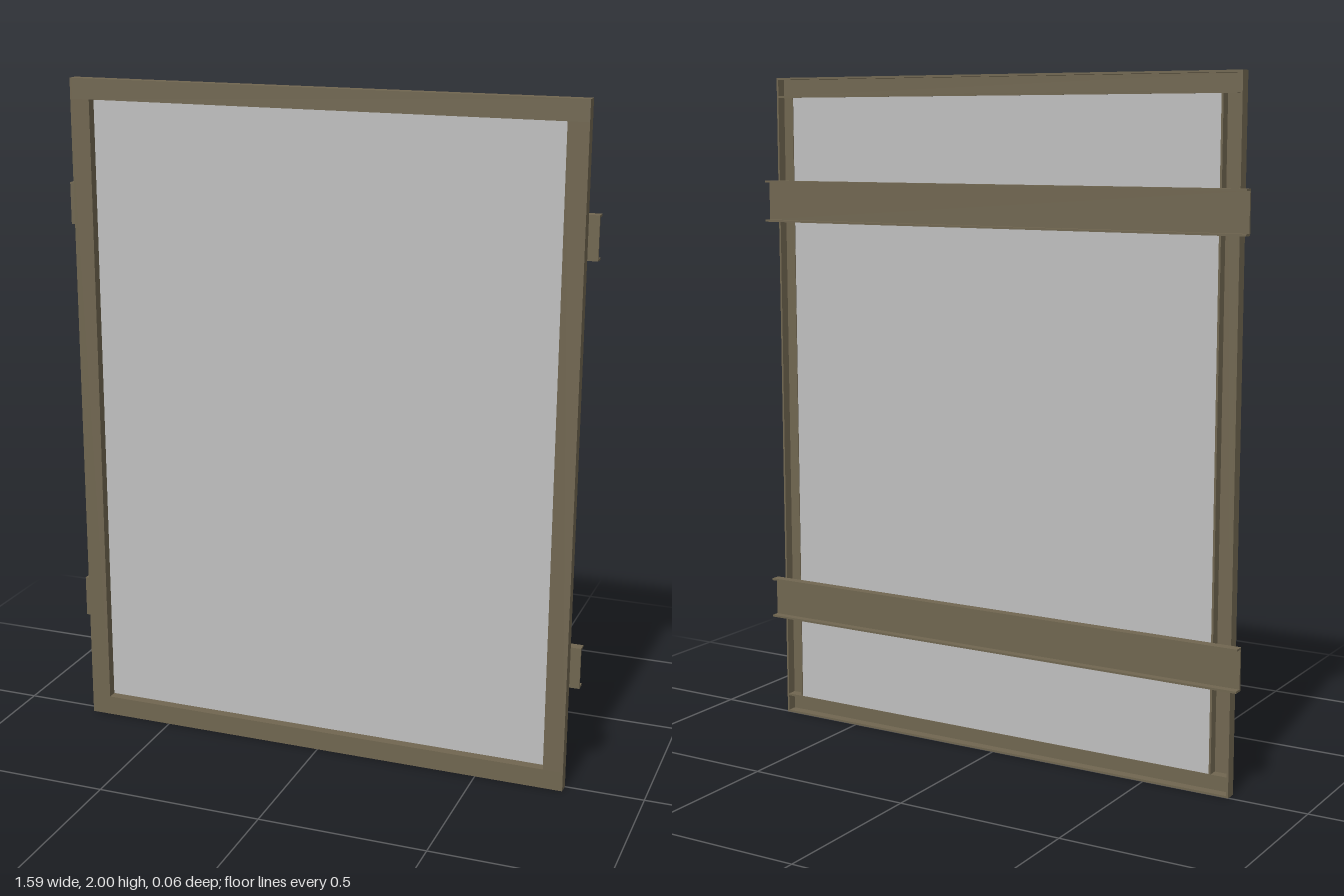
import * as THREE from 'three';

const HALF_W = 0.765, HEIGHT = 2;      // outer frame
const RAIL = 0.06;                     // channel width
const WALL = 0.006;                    // sheet thickness
const FRONT = 0.032, SPLIT = -0.003, BACK = -0.032;

const bronze = new THREE.MeshStandardMaterial({ color: 0x706650 });
bronze.name = 'bronze metal';
const grey = new THREE.MeshStandardMaterial({ color: 0xbfbfbf });
grey.name = 'grey panel';

// U-channel lying along x, centred, open towards -z, front web at z = front
function channel(name, length, width, front, back) {
  const h = width / 2;
  const shape = new THREE.Shape([
    [back, -h], [front, -h], [front, h], [back, h],
    [back, h - WALL], [front - WALL, h - WALL],
    [front - WALL, -h + WALL], [back, -h + WALL],
  ].map(([z, y]) => new THREE.Vector2(z, y)));
  const geo = new THREE.ExtrudeGeometry(shape, { depth: length, bevelEnabled: false });
  // profile x becomes z, extrusion runs along -x
  geo.translate(0, 0, -length / 2).rotateY(-Math.PI / 2);
  const mesh = new THREE.Mesh(geo, bronze);
  mesh.name = name;
  return mesh;
}

export function createModel() {
  const model = new THREE.Group();
  model.name = 'framedPanel';

  // Outer frame: top and bottom rails between two full-height stiles
  const frame = new THREE.Group();
  frame.name = 'frame';
  for (const [name, y] of [['bottomRail', RAIL / 2], ['topRail', HEIGHT - RAIL / 2]]) {
    const rail = channel(name, 2 * (HALF_W - WALL), RAIL, FRONT, SPLIT);
    rail.position.y = y;
    frame.add(rail);
  }
  for (const [name, s] of [['leftStile', 1], ['rightStile', -1]]) {
    // stile web and inner leg stop at the rails; the outer leg runs full height
    const stile = channel(name, HEIGHT - 2 * RAIL, RAIL, FRONT, SPLIT);
    stile.rotation.z = Math.PI / 2;
    stile.position.set(s * (HALF_W - RAIL / 2), HEIGHT / 2, 0);
    frame.add(stile);
    for (const y of [RAIL / 2, HEIGHT - RAIL / 2]) {
      const cap = new THREE.Mesh(new THREE.BoxGeometry(WALL, RAIL, FRONT - SPLIT), bronze);
      cap.name = name + 'End';
      cap.position.set(s * (HALF_W - WALL / 2), y, (FRONT + SPLIT) / 2);
      frame.add(cap);
    }
  }
  model.add(frame);

  // Infill sheet, set near the back of the frame
  const panel = new THREE.Mesh(
    new THREE.BoxGeometry(2 * (HALF_W - RAIL), HEIGHT - 2 * RAIL, 0.004), grey);
  panel.name = 'panel';
  panel.position.set(0, HEIGHT / 2, 0.001);
  model.add(panel);

  // Two mounting channels across the back, overhanging the frame
  for (const [name, y] of [['lowerBatten', 0.378], ['upperBatten', 1.628]]) {
    const batten = channel(name, 1.59, 0.125, SPLIT, BACK);
    batten.position.y = y;
    model.add(batten);
  }
  return model;
}
